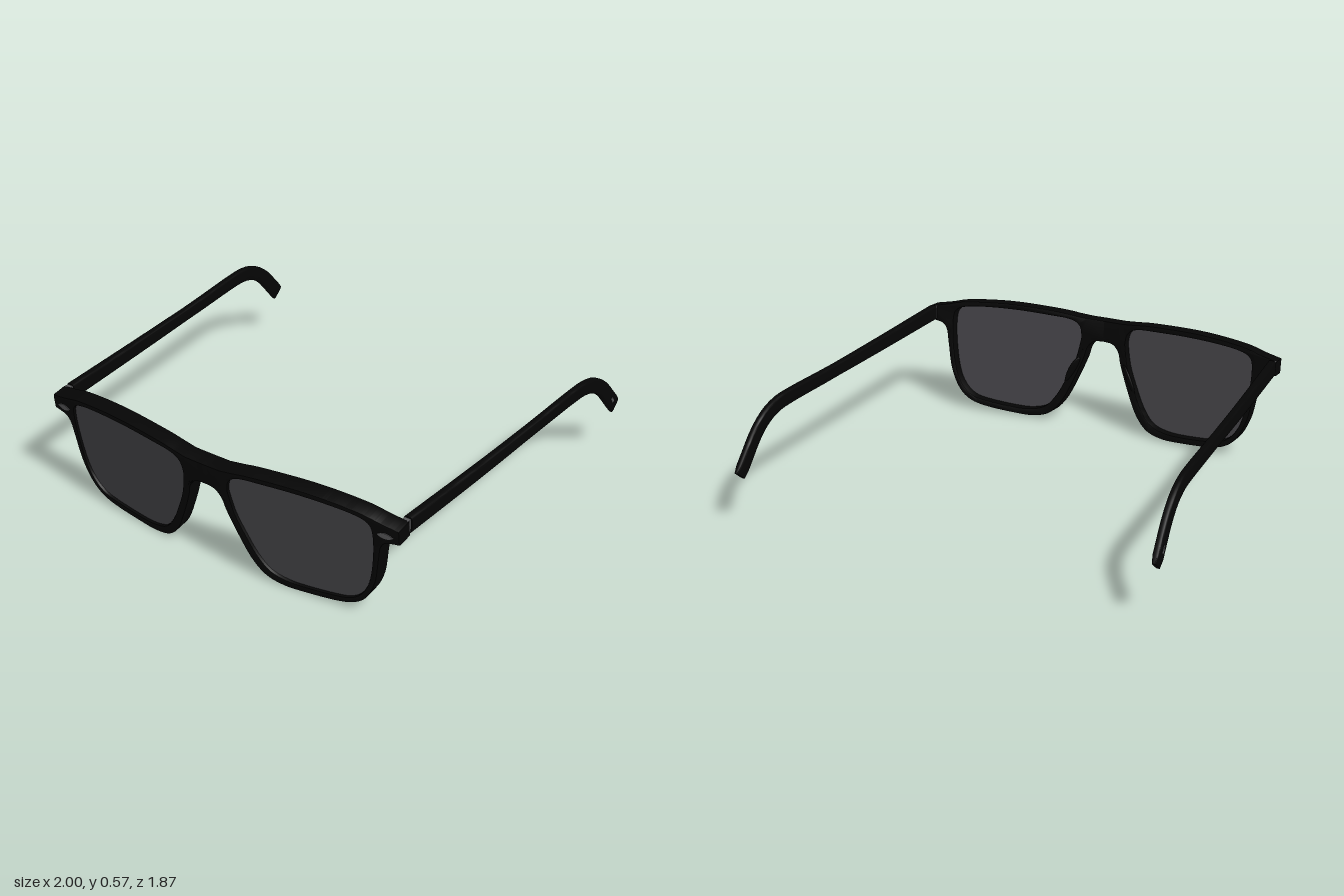
import * as THREE from 'three';
import { toCreasedNormals } from 'three/addons/utils/BufferGeometryUtils.js';

const V2 = (list) => list.map(([x, y]) => new THREE.Vector2(x, y));

// Face-form curve and forward tilt shared by everything on the front
function wrapFront(geo) {
  const p = geo.attributes.position;
  for (let i = 0; i < p.count; i++) {
    const x = p.getX(i), y = p.getY(i), z = p.getZ(i);
    p.setY(i, y - 0.12 * z - 0.005);
    p.setZ(i, z + 0.94 - 0.107 * Math.max(0, x - 0.08) - 0.115 * (0.555 - y));
  }
  return geo;
}

// Extruded slab whose front face lies at z = front before wrapping
function slab(shape, front, thickness, bevel = 0) {
  const geo = new THREE.ExtrudeGeometry(shape, {
    depth: thickness - 2 * bevel, curveSegments: 48, bevelEnabled: bevel > 0,
    bevelThickness: bevel, bevelSize: bevel, bevelOffset: -bevel, bevelSegments: 2,
  });
  geo.translate(0, 0, front - thickness + bevel);
  return toCreasedNormals(wrapFront(geo), 0.6);
}

// Mirror across x = 0, keeping faces outward
function mirrored(geo) {
  const g = geo.index ? geo.toNonIndexed() : geo.clone();
  for (const name of ['position', 'normal']) {
    const a = g.attributes[name];
    for (let i = 0; i < a.count; i++) a.setX(i, -a.getX(i));
    for (let i = 0; i < a.count; i += 3) {
      const b = [a.getX(i + 1), a.getY(i + 1), a.getZ(i + 1)];
      a.setXYZ(i + 1, a.getX(i + 2), a.getY(i + 2), a.getZ(i + 2));
      a.setXYZ(i + 2, ...b);
    }
  }
  return g;
}

// Temple arm: rounded-rectangle sections swept along a path that bends down at the ear
function templeGeometry() {
  const path = new THREE.CatmullRomCurve3([
    [0.902, 0.487, 0.752], [0.93, 0.483, 0.2], [0.948, 0.485, -0.2], [0.963, 0.489, -0.5],
    [0.968, 0.484, -0.6], [0.972, 0.457, -0.69], [0.976, 0.402, -0.77],
    [0.98, 0.32, -0.845], [0.984, 0.25, -0.905],
  ].map((p) => new THREE.Vector3(...p)), false, 'centripetal');
  const steps = 48, sides = 20, pos = [], idx = [];
  const round = (v) => Math.sign(v) * Math.abs(v) ** 0.45;
  for (let i = 0; i <= steps; i++) {
    const t = i / steps, c = path.getPointAt(t), d = path.getTangentAt(t);
    const n = new THREE.Vector3(0, -d.z, d.y).normalize();
    const h = 0.031 + 0.007 * Math.abs(2 * t - 1), w = i === steps ? 0.009 : 0.02 - 0.004 * t;
    for (let j = 0; j < sides; j++) {
      const a = (j / sides) * Math.PI * 2;
      const u = round(Math.cos(a)) * w, v = round(Math.sin(a)) * h;
      pos.push(c.x + u, c.y + n.y * v, c.z + n.z * v);
    }
  }
  const end = steps * sides, first = pos.length / 3;
  pos.push(...path.getPointAt(0).toArray(), ...path.getPointAt(1).toArray());
  for (let j = 0; j < sides; j++) {
    const k = (j + 1) % sides;
    for (let i = 0; i < end; i += sides) {
      idx.push(i + j, i + sides + j, i + k, i + k, i + sides + j, i + sides + k);
    }
    idx.push(first, j, k, first + 1, end + k, end + j);
  }
  const geo = new THREE.BufferGeometry();
  geo.setAttribute('position', new THREE.Float32BufferAttribute(pos, 3));
  geo.setIndex(idx);
  return toCreasedNormals(geo, 0.7);
}

export function createModel() {
  const model = new THREE.Group();
  model.name = 'sunglasses';
  const material = (name, color) => {
    const m = new THREE.MeshStandardMaterial({ color });
    m.name = name;
    return m;
  };
  const black = material('black acetate', 0x050505);
  const tint = material('smoke lens', 0x464549);
  const metal = material('grey metal', 0x58585a);

  const addPair = (name, geo, mat) => {
    for (const [side, g] of [['left', geo], ['right', mirrored(geo)]]) {
      const mesh = new THREE.Mesh(g, mat);
      mesh.name = side + name;
      model.add(mesh);
    }
  };

  // Lens opening
  const lensCurve = new THREE.SplineCurve(V2([
    [0.118, 0.44], [0.13, 0.495], [0.18, 0.525], [0.3, 0.534], [0.45, 0.54], [0.6, 0.538], [0.72, 0.528],
    [0.78, 0.505], [0.797, 0.45], [0.792, 0.33], [0.77, 0.2], [0.735, 0.12], [0.68, 0.07], [0.6, 0.05],
    [0.45, 0.037], [0.36, 0.04], [0.285, 0.065], [0.23, 0.13], [0.185, 0.22], [0.14, 0.33], [0.118, 0.44],
  ]));
  const lensPoints = lensCurve.getPoints(80).slice(0, -1);

  // Frame half with rim, end piece and its share of the bridge
  const rim = new THREE.Shape();
  rim.moveTo(-0.03, 0.54);
  rim.lineTo(0.09, 0.54);
  rim.splineThru(V2([[0.15, 0.546], [0.25, 0.557], [0.45, 0.566], [0.6, 0.563], [0.75, 0.549],
    [0.84, 0.528], [0.92, 0.513]]));
  rim.lineTo(0.92, 0.442);
  rim.splineThru(V2([[0.86, 0.43], [0.833, 0.4], [0.82, 0.33], [0.797, 0.2], [0.752, 0.1], [0.69, 0.045],
    [0.6, 0.02], [0.45, 0.006], [0.35, 0.005], [0.265, 0.03], [0.2, 0.1], [0.145, 0.215],
    [0.1, 0.33], [0.083, 0.39], [0.05, 0.427], [0, 0.435]]));
  rim.lineTo(-0.03, 0.433);
  rim.holes.push(new THREE.Path([...lensPoints].reverse()));
  addPair('FrameHalf', slab(rim, 0, 0.08, 0.006), black);

  // Lenses, set just behind the front of the rim
  addPair('Lens', slab(new THREE.Shape(lensPoints), -0.014, 0.02), tint);

  // Lozenge rivet plates on the end pieces
  const lozenge = new THREE.Shape();
  lozenge.moveTo(0.82, 0.472);
  lozenge.quadraticCurveTo(0.857, 0.5, 0.894, 0.472);
  lozenge.quadraticCurveTo(0.857, 0.444, 0.82, 0.472);
  addPair('RivetPlate', slab(lozenge, 0.003, 0.006), metal);

  // Hinges between end pieces and temples
  addPair('Hinge', new THREE.BoxGeometry(0.03, 0.064, 0.03).translate(0.902, 0.486, 0.76), metal);

  // Nose pads blending out of the inner rims, angled back and outward
  const pad = new THREE.SphereGeometry(1, 20, 14).scale(0.012, 0.09, 0.036);
  pad.rotateY(-0.7).rotateZ(0.38).translate(0.152, 0.26, 0.83);
  addPair('NosePad', pad, black);

  addPair('Temple', templeGeometry(), black);

  // Small plain inlays on the outside of the temple tips
  const inlay = new THREE.BoxGeometry(0.004, 0.014, 0.034).rotateX(-0.9).translate(0.996, 0.305, -0.857);
  addPair('TipInlay', inlay, metal);
  return model;
}
